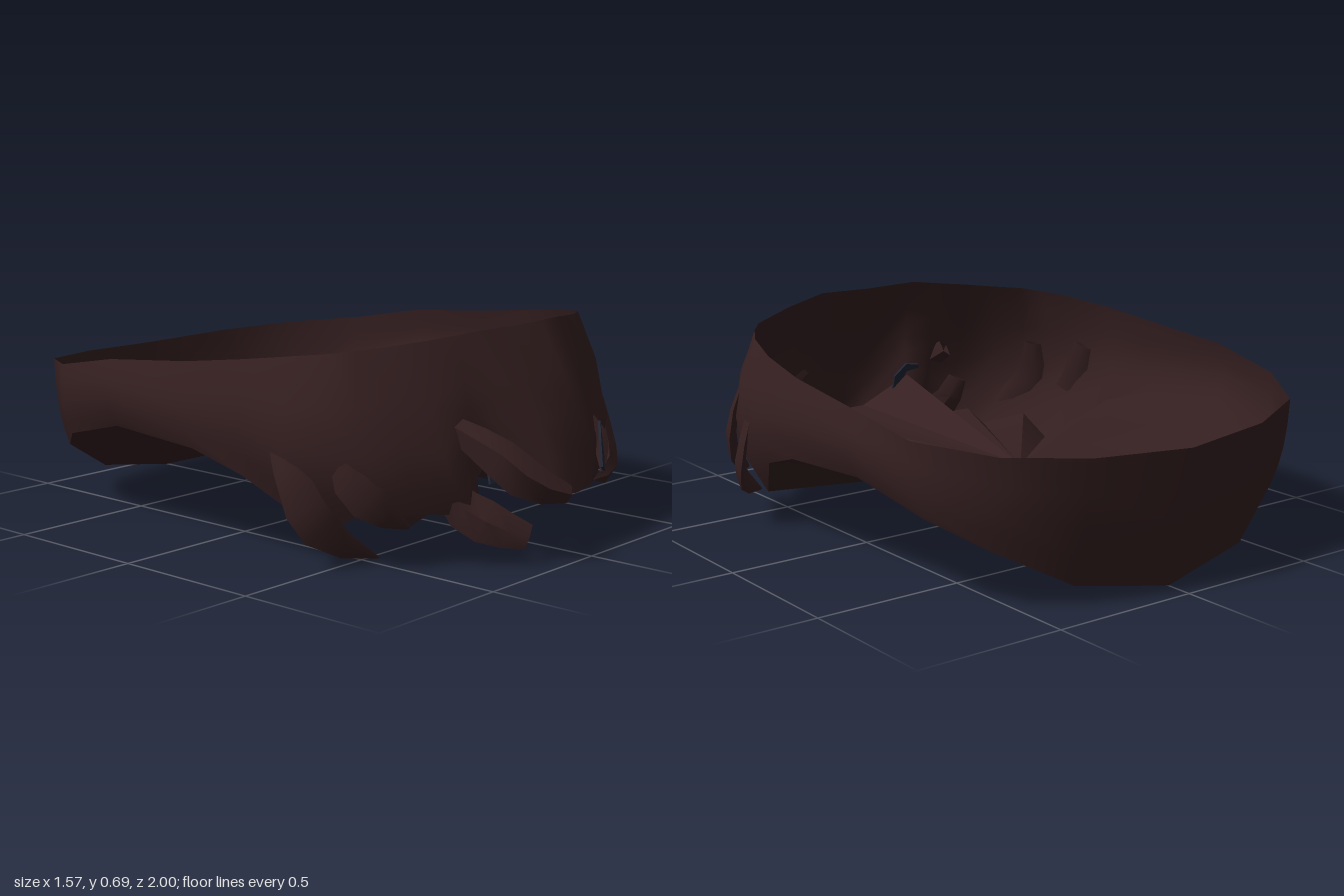
import * as THREE from 'three';
import { toCreasedNormals } from 'three/addons/utils/BufferGeometryUtils.js';

const brown = new THREE.MeshStandardMaterial({ color: 0x362021, side: THREE.DoubleSide });
brown.name = 'dark brown';
const blue = new THREE.MeshStandardMaterial({ color: 0x202533, side: THREE.DoubleSide });
blue.name = 'dark slate blue';

// Half of the ring, back to front: rim, middle and hem of each section
const HALF = [
  [[0, .455, -1], [0, .21, -.972], [0, 0, -.91]],
  [[.34, .468, -.95], [.345, .25, -.92], [.34, .06, -.87]],
  [[.59, .485, -.83], [.595, .32, -.805], [.58, .19, -.77]],
  [[.74, .51, -.6], [.735, .38, -.61], [.7, .27, -.61]],
  [[.765, .56, -.33], [.785, .44, -.33], [.745, .34, -.33]],
  [[.75, .588, 0], [.78, .44, .01], [.755, .32, .03]],
  [[.72, .615, .22], [.755, .42, .22], [.73, .26, .22]],
  [[.67, .637, .39], [.74, .36, .4], [.61, .09, .44]],
  [[.62, .647, .48], [.69, .36, .51], [.6, .16, .56]],
  [[.57, .656, .54], [.62, .35, .62], [.48, .12, .66]],
  [[.47, .665, .6], [.53, .38, .67], [.45, .17, .72]],
  [[.38, .675, .65], [.43, .35, .76], [.3, .15, .8]],
  [[.28, .685, .69], [.3, .4, .79], [.25, .23, .84]],
  [[.2, .694, .72], [.18, .42, .85], [.17, .22, .89]],
  [[.1, .692, .72], [.1, .42, .865], [.1, .195, .925]],
  [[0, .69, .72], [0, .42, .87], [0, .19, .94]],
];
// Notch in the right fringe
const NOTCH = {
  12: [[-.28, .685, .69], [-.3, .45, .75], [-.28, .26, .77]],
  13: [[-.2, .694, .72], [-.2, .5, .78], [-.2, .33, .77]],
};
const ROWS = 5;

function geometry(positions, index) {
  const g = new THREE.BufferGeometry();
  g.setAttribute('position', new THREE.Float32BufferAttribute(positions, 3));
  g.setIndex(index);
  g.computeVertexNormals();
  return g;
}

// Full ring of sections, the second half mirrored in x
function sections() {
  const mirrored = HALF.map((s, i) => NOTCH[i] || s.map(([x, y, z]) => [-x, y, z]));
  return [...HALF, ...mirrored.slice(1, -1).reverse()];
}

// Wall: each section is a parabola through its three points
function wallGeometry(ring) {
  const pos = [], idx = [], n = ring.length;
  for (const [a, m, b] of ring) {
    for (let r = 0; r < ROWS; r++) {
      const t = r / (ROWS - 1);
      for (let k = 0; k < 3; k++) {
        pos.push(a[k] * (1 - t) * (1 - 2 * t) + m[k] * 4 * t * (1 - t) + b[k] * t * (2 * t - 1));
      }
    }
  }
  for (let i = 0; i < n; i++) {
    for (let r = 0; r < ROWS - 1; r++) {
      const a = i * ROWS + r, b = ((i + 1) % n) * ROWS + r;
      idx.push(a, b, a + 1, b, b + 1, a + 1);
    }
  }
  return geometry(pos, idx);
}

// Floor: creased fan from the hem to one inner point
function floorGeometry(ring) {
  const pos = [0, .22, -.18], idx = [], n = ring.length;
  ring.forEach((s, i) => {
    pos.push(...s[2]);
    idx.push(0, 1 + (i + 1) % n, 1 + i);
  });
  return toCreasedNormals(geometry(pos, idx), .55);
}

// Lock: flat tapering sweep lying against the wall; blunt is the width left at the tip
function lockGeometry(points, width, thick, blunt) {
  const curve = new THREE.CatmullRomCurve3(points.map(p => new THREE.Vector3(...p)));
  const pos = [], idx = [], steps = 5, sides = 4;
  for (let i = 0; i <= steps; i++) {
    const t = i / steps, p = curve.getPoint(t), tan = curve.getTangent(t);
    const out = new THREE.Vector3(p.x, 0, p.z).normalize();
    const side = new THREE.Vector3().crossVectors(tan, out).normalize();
    out.crossVectors(side, tan);
    const size = t < .5 ? .5 + t : 1 - (1 - blunt) * (2 * t - 1) ** 1.5;
    for (let j = 0; j < sides; j++) {
      const a = j / sides * Math.PI * 2;
      const v = p.clone().addScaledVector(side, Math.cos(a) * width * size / 2)
        .addScaledVector(out, Math.sin(a) * thick * size / 2);
      pos.push(v.x, v.y, v.z);
      if (i < steps) {
        const k = i * sides + j, l = i * sides + (j + 1) % sides;
        idx.push(k, l, k + sides, l, l + sides, k + sides);
      }
    }
  }
  const end = steps * sides;
  idx.push(end, end + 1, end + 2, end, end + 2, end + 3);
  return toCreasedNormals(geometry(pos, idx), .7);
}

export function createModel() {
  const group = new THREE.Group();
  const add = (name, geo, mat) => {
    const mesh = new THREE.Mesh(geo, mat);
    mesh.name = name;
    group.add(mesh);
    return mesh;
  };

  const ring = sections();
  add('hairWall', wallGeometry(ring), brown);
  add('hairFloor', floorGeometry(ring), brown);

  // Loose locks around the fringe: path, width, thickness, tip width
  const locks = {
    rightTempleLock: [[[-.71, .45, .34], [-.72, .22, .45], [-.65, .1, .5], [-.5, .02, .57]], .14, .04, .04],
    rightFringeLock: [[[-.4, .3, .72], [-.36, .19, .76], [-.3, .13, .84], [-.22, .09, .92]], .14, .05, .55],
    rightCurl: [[[-.35, .42, .73], [-.29, .35, .83], [-.22, .26, .92], [-.1, .21, .98]], .14, .09, .4],
    leftFringeLock: [[[.24, .4, .78], [.29, .33, .82], [.27, .26, .85], [.21, .21, .89]], .08, .05, .1],
    leftCheekLock: [[[.43, .4, .73], [.43, .26, .77], [.38, .18, .81], [.29, .16, .81]], .11, .05, .1],
    leftTempleLock: [[[.73, .42, .33], [.74, .25, .39], [.7, .15, .45], [.6, .085, .5]], .13, .04, .04],
    leftSideLock: [[[.67, .46, .49], [.71, .33, .5], [.68, .22, .54], [.57, .13, .64]], .13, .04, .1],
    rightSideLock: [[[-.62, .44, .53], [-.64, .3, .57], [-.59, .2, .63], [-.49, .13, .68]], .13, .04, .1],
  };
  for (const [name, shape] of Object.entries(locks)) {
    add(name, lockGeometry(...shape), brown);
  }

  // Thin blue plates showing through the fringe
  const plate = (name, corners, position, rotation) => {
    const shape = new THREE.Shape(corners.map(p => new THREE.Vector2(...p)));
    const mesh = add(name, new THREE.ExtrudeGeometry(shape, { depth: .008, bevelEnabled: false }), blue);
    mesh.position.set(...position);
    mesh.rotation.set(...rotation);
  };
  plate('leftInset', [[-.035, -.06], [.02, -.08], [.035, -.05], [.025, .08], [-.01, .02]],
    [.215, .29, .877], [-.15, .5, 0]);
  plate('rightInset', [[-.07, -.06], [.05, -.06], [.06, .03], [.02, .08], [-.04, .07]],
    [-.21, .3, .79], [-.4, 0, 0]);
  return group;
}
